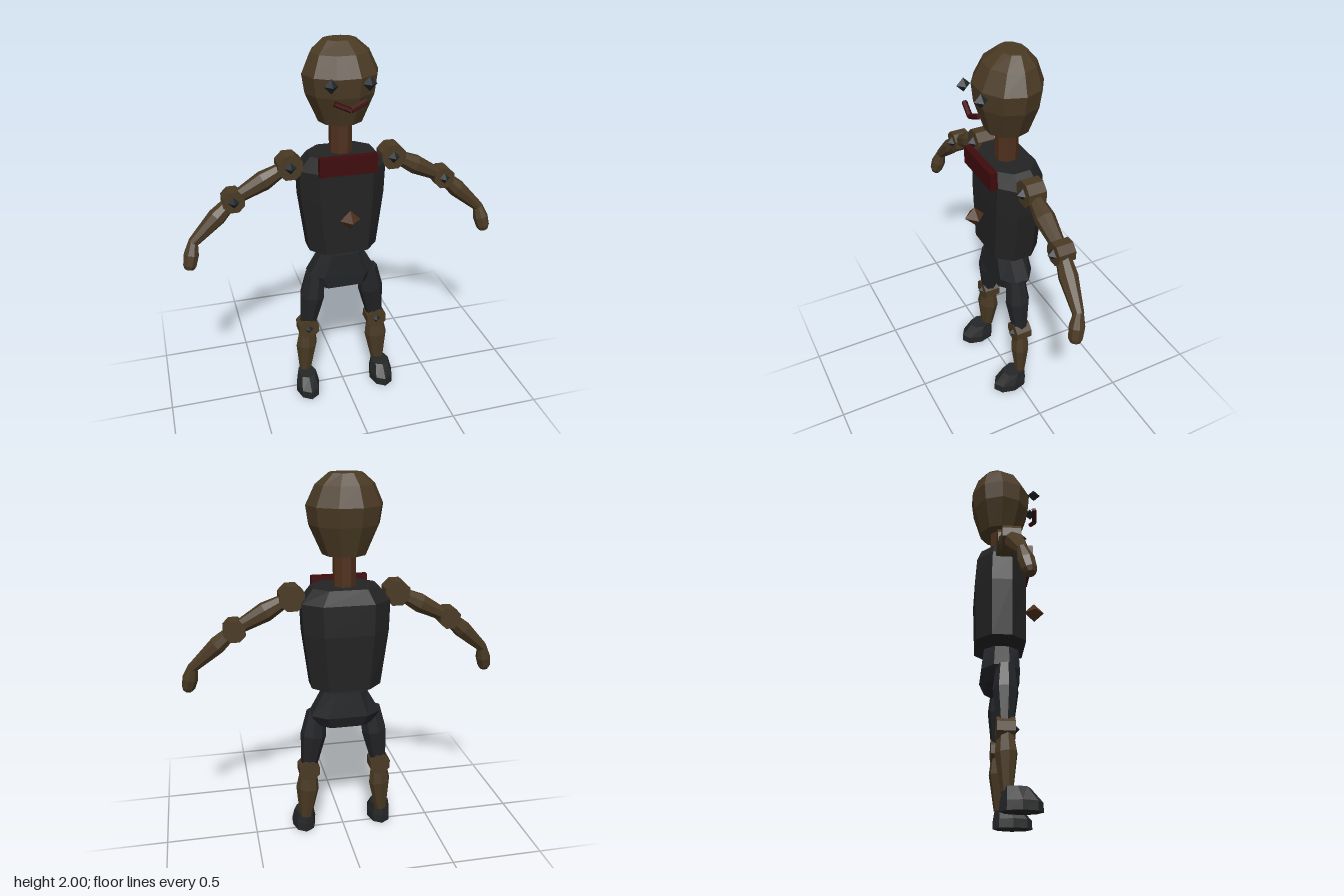
import * as THREE from 'three';

const mat = (name, color) => Object.assign(new THREE.MeshStandardMaterial({ color }), { name });

// faceted normals
function flat(g) {
  const f = g.index ? g.toNonIndexed() : g;
  f.computeVertexNormals();
  return f;
}

// closed loft: outline of unit [x, z] points, rings of [y, rx, rz, cz] from bottom to top
function loft(outline, rings) {
  const n = outline.length, pos = [], idx = [];
  for (const [y, rx, rz, cz] of rings) {
    for (const [x, z] of outline) pos.push(x * rx, y, z * rz + cz);
  }
  for (let j = 0; j < rings.length - 1; j++) {
    for (let i = 0; i < n; i++) {
      const k = (i + 1) % n, a = j * n + i, b = j * n + k;
      idx.push(a, b, b + n, a, b + n, a + n);
    }
  }
  const t = (rings.length - 1) * n;
  for (let i = 1; i < n - 1; i++) idx.push(0, i + 1, i, t, t + i, t + i + 1);
  const g = new THREE.BufferGeometry();
  g.setAttribute('position', new THREE.Float32BufferAttribute(pos, 3));
  g.setIndex(idx);
  return flat(g);
}

// regular outline; the first corner sits at the start angle from +z
function polygon(n, start = 0) {
  return Array.from({ length: n }, (_, i) => {
    const a = start + (i / n) * Math.PI * 2;
    return [Math.sin(a), Math.cos(a)];
  });
}

// broad front and back panels with chamfered sides
const BODY = [[0.62, 1], [1, 0.4], [1, -0.4], [0.58, -1], [-0.58, -1], [-1, -0.4], [-1, 0.4], [-0.62, 1]];

export function createModel() {
  const root = new THREE.Group();
  root.name = 'jointedPuppet';

  const wood = mat('wood', 0x4a3a24);
  const rust = mat('rust wood', 0x4f301c);
  const red = mat('dark red', 0x3f0b0d);
  const coat = mat('coat black', 0x232323);
  const trousers = mat('trouser black', 0x232427);
  const boots = mat('boot black', 0x252627);
  const metal = mat('dark metal', 0x20262a);

  function add(name, geometry, material, x = 0, y = 0, z = 0) {
    const m = new THREE.Mesh(geometry, material);
    m.name = name;
    m.position.set(x, y, z);
    root.add(m);
    return m;
  }

  // tapered limb between two points; profile of [fraction, radius]
  function limb(name, a, b, profile, material, sides = 8, depth = 1) {
    const p = new THREE.Vector3(...a), q = new THREE.Vector3(...b);
    const dir = q.clone().sub(p), len = dir.length();
    const g = loft(polygon(sides, Math.PI / sides), profile.map(([t, r]) => [t * len, r, r * depth, 0]));
    const m = add(name, g, material, ...a);
    m.quaternion.setFromUnitVectors(new THREE.Vector3(0, 1, 0), dir.normalize());
  }

  const diamond = (name, r, material, x, y, z) =>
    add(name, flat(new THREE.OctahedronGeometry(r)), material, x, y, z);

  // disc joint facing forward, with a stud on the front
  function joint(name, r, depth, x, y, z, stud) {
    const g = new THREE.CylinderGeometry(r, r, depth, 8);
    g.rotateX(Math.PI / 2);
    add(name, flat(g), wood, x, y, z).rotation.z = Math.PI / 8;
    diamond(name + 'Stud', stud, metal, x, y, z + depth / 2);
  }

  // head and neck
  add('head', loft(polygon(10, Math.PI / 10), [
    [1.6, 0.115, 0.113, -0.04],
    [1.75, 0.182, 0.16, -0.038],
    [1.845, 0.196, 0.171, -0.04],
    [1.945, 0.15, 0.128, -0.05],
    [2.0, 0.085, 0.066, -0.064],
  ]), wood);
  limb('neck', [0, 1.42, -0.037], [0, 1.61, -0.037], [[0, 0.06], [1, 0.06]], rust);

  // face
  for (const s of [1, -1]) {
    diamond('eye', 0.036, metal, s * 0.095, 1.825, 0.145);
    limb('mouthHalf', [0, 1.706, 0.158], [s * 0.08, 1.742, 0.148], [[0, 0.014], [1, 0.014]], red, 6);
  }

  // torso, collar and button
  add('torso', loft(BODY, [
    [0.9, 0.185, 0.13, -0.04],
    [1.2, 0.224, 0.135, -0.045],
    [1.36, 0.23, 0.13, -0.043],
    [1.435, 0.17, 0.113, -0.035],
  ]), coat);
  add('collar', flat(new THREE.BoxGeometry(0.3, 0.095, 0.04)), red, 0, 1.408, 0.108);
  diamond('button', 0.054, rust, 0, 1.12, 0.148);

  // pelvis
  add('pelvis', loft(BODY, [
    [0.67, 0.15, 0.085, -0.03],
    [0.735, 0.188, 0.098, -0.042],
    [0.865, 0.115, 0.09, -0.036],
  ]), trousers);

  for (const s of [1, -1]) {
    // arm
    const shoulder = [s * 0.275, 1.385, -0.03], elbow = [s * 0.57, 1.23, -0.03];
    const wrist = [s * 0.79, 1.03, 0], fingers = [s * 0.824, 0.895, 0.03];
    joint('shoulder', 0.07, 0.095, ...shoulder, 0.032);
    limb('upperArm', shoulder, elbow, [[0.1, 0.035], [0.45, 0.052], [0.95, 0.034]], wood);
    joint('elbow', 0.06, 0.09, ...elbow, 0.03);
    limb('forearm', elbow, wrist, [[0.05, 0.036], [0.4, 0.048], [1, 0.028]], wood);
    limb('hand', wrist, fingers, [[-0.1, 0.024], [0.45, 0.041], [0.85, 0.036], [1, 0.024]], wood);

    // leg
    const hip = [s * 0.15, 0.735, -0.02], knee = [s * 0.2, 0.395, -0.025], ankle = [s * 0.22, 0.09, -0.02];
    limb('thigh', hip, knee, [[0, 0.055], [0.4, 0.071], [1, 0.042]], trousers, 8, 0.93);
    joint('knee', 0.06, 0.09, ...knee, 0.024);
    limb('shin', knee, ankle, [[0, 0.045], [0.4, 0.065], [1, 0.035]], wood, 8, 0.8);
    add('boot', loft(polygon(8), [
      [0, 0.066, 0.102, 0.047],
      [0.045, 0.067, 0.1, 0.047],
      [0.11, 0.053, 0.065, 0.024],
    ]), boots, s * 0.222);
  }

  return root;
}
